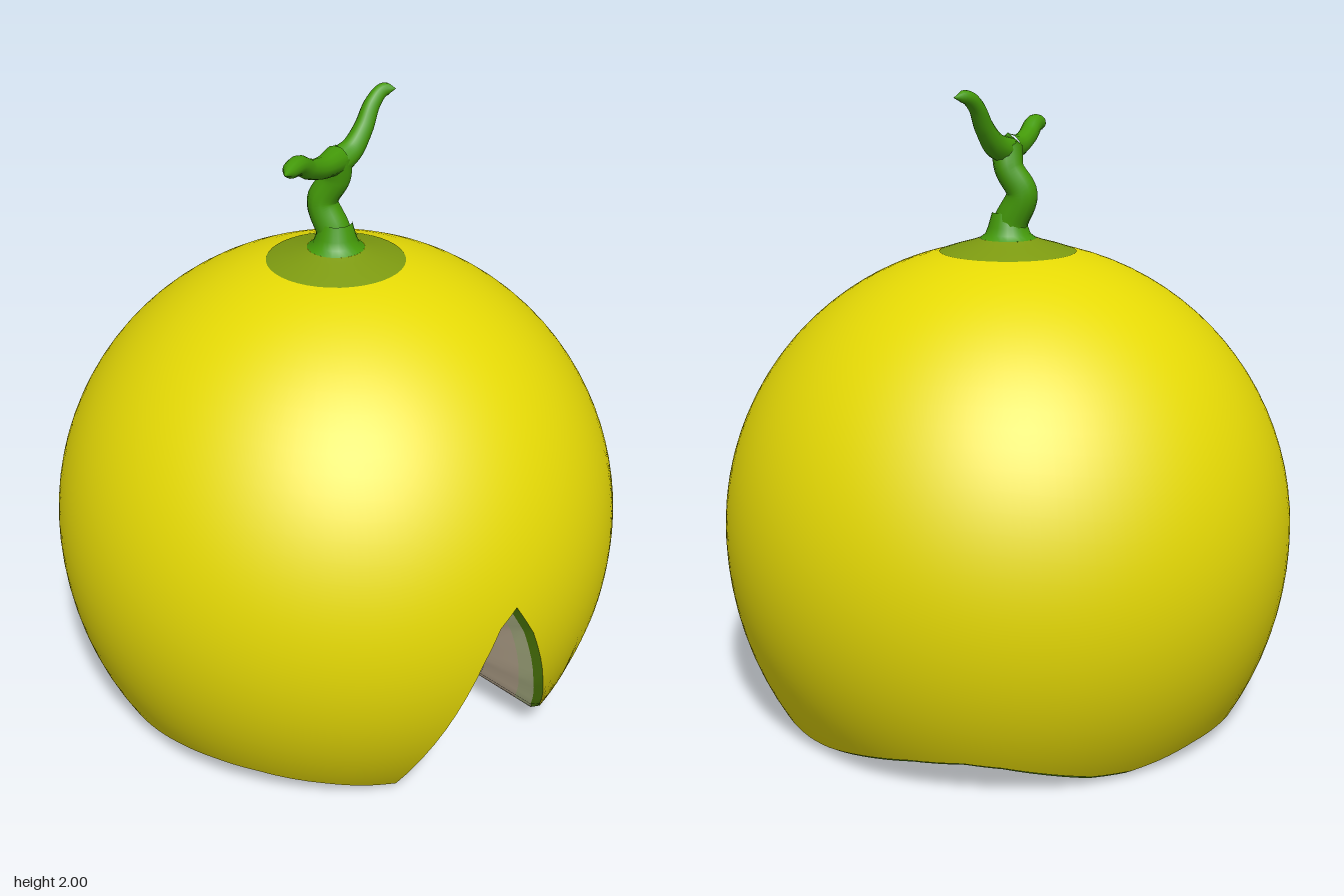
import * as THREE from 'three';

// Shell: round above its equator, slightly drawn out below it; the hollow is a smaller copy
const CY = 0.59, R = 0.922, DROP = 1.025, HOLLOW = 0.775;

// Broken lower edge: azimuth in degrees (0 = front, 90 = +x) and height
const EDGE = [
  [-8, 0.025], [0, 0.31], [6.3, 0.55], [9.5, 0.65], [13.3, 0.7], [17.7, 0.58], [24.4, 0.32], [30, 0.15],
  [35.5, 0.07], [36.2, 0.16], [37.2, 0.25], [42.7, 0.34], [51.5, 0.42], [55, 0.33], [58, 0.21], [62, 0.13],
  [74, 0.05], [82, 0.028], [90, 0.022], [98, 0.024], [106, 0.035], [118, 0.068], [130, 0.1], [142, 0.115],
  [150, 0.103], [157, 0.08], [170, 0.035], [180, 0.022], [188, 0.032], [198, 0.05], [208, 0.05], [223, 0.03],
  [235, 0.036], [246, 0.05], [260, 0.06], [270, 0.05], [277, 0.048], [285, 0.06], [300, 0.09], [310, 0.102],
  [320, 0.1], [336, 0.065], [344, 0.04], [352, 0.025],
];

// Even steps between the edge points
function sampleEdge() {
  const cols = [], steps = 4;
  for (let i = 0; i < EDGE.length - 1; i++) {
    for (let k = 0; k < steps; k++) {
      const a = THREE.MathUtils.lerp(EDGE[i][0], EDGE[i + 1][0], k / steps);
      cols.push({ a: THREE.MathUtils.degToRad(a), y: THREE.MathUtils.lerp(EDGE[i][1], EDGE[i + 1][1], k / steps) });
    }
  }
  return cols;
}

// Point on the shell scaled by k, at polar angle th from the top
function shellPoint(k, a, th) {
  const r = k * R * Math.sin(th), h = k * Math.cos(th) * (th > Math.PI / 2 ? DROP : R);
  return new THREE.Vector3(r * Math.sin(a), CY + h, r * Math.cos(a));
}
const polarAt = (k, y) => Math.acos((y - CY) / (k * (y < CY ? DROP : R)));

// Closed loft around y; point(edgeSample, s) runs from s = 0 to 1.
// A non-zero normalSign gives smooth normals away from or towards the centre.
function loft(cols, rows, point, normalSign = 0) {
  const pos = [], nor = [], idx = [], n = cols.length, w = rows + 1;
  const centre = new THREE.Vector3(0, CY, 0);
  cols.forEach((c, i) => {
    for (let j = 0; j <= rows; j++) {
      const p = point(c, j / rows);
      pos.push(p.x, p.y, p.z);
      const d = p.clone().sub(centre).normalize().multiplyScalar(normalSign);
      nor.push(d.x, d.y, d.z);
      if (j < rows) {
        const a = i * w + j, b = ((i + 1) % n) * w + j;
        idx.push(a, a + 1, b + 1, a, b + 1, b);
      }
    }
  });
  const g = new THREE.BufferGeometry();
  g.setAttribute('position', new THREE.Float32BufferAttribute(pos, 3));
  g.setIndex(idx);
  if (normalSign) g.setAttribute('normal', new THREE.Float32BufferAttribute(nor, 3));
  else g.computeVertexNormals();
  return g;
}

// Tube whose radius follows a list of values along its length
function taperedTube(points, radii) {
  const curve = new THREE.CatmullRomCurve3(points.map((p) => new THREE.Vector3(...p)));
  const n = 36, sides = 12;
  const g = new THREE.TubeGeometry(curve, n, 1, sides);
  const pos = g.attributes.position, v = new THREE.Vector3();
  for (let i = 0; i <= n; i++) {
    const c = curve.getPointAt(i / n);
    const f = (i / n) * (radii.length - 1), k = Math.min(Math.floor(f), radii.length - 2);
    const r = THREE.MathUtils.lerp(radii[k], radii[k + 1], f - k);
    for (let j = 0; j <= sides; j++) {
      const id = i * (sides + 1) + j;
      v.fromBufferAttribute(pos, id).sub(c).multiplyScalar(r).add(c);
      pos.setXYZ(id, v.x, v.y, v.z);
    }
  }
  return g;
}

export function createModel() {
  const model = new THREE.Group();
  const mat = (color) => new THREE.MeshStandardMaterial({ color });
  const add = (name, geometry, material) => {
    const m = new THREE.Mesh(geometry, material);
    m.name = name;
    model.add(m);
  };
  const skin = mat(0xe6da05), rimGreen = mat(0x5a8c0c), rind = mat(0xc9d09c);
  const flesh = mat(0xdcc9ac), patch = mat(0x7d9a10), stem = mat(0x449a09);
  const cols = sampleEdge();

  // Section of the broken edge, from skin to hollow
  const innerY = (c) => 0.05 + 0.73 * c.y;
  const outer = (c) => shellPoint(1, c.a, polarAt(1, c.y));
  const bevel = (c) => outer(c).multiply(new THREE.Vector3(0.96, 1, 0.96)).setY(c.y - 0.02);
  const inner = (c) => shellPoint(HOLLOW, c.a, polarAt(HOLLOW, innerY(c)));
  const cut = (c, t) => bevel(c).lerp(inner(c), t);

  // Outer skin and inner hollow
  add('skin', loft(cols, 32, (c, s) => shellPoint(1, c.a, s * polarAt(1, c.y)), 1), skin);
  add('hollow', loft(cols, 28, (c, s) => shellPoint(HOLLOW, c.a, (1 - s) * polarAt(HOLLOW, innerY(c))), -1), flesh);

  // Layers of the broken edge
  add('greenRim', loft(cols, 1, (c, s) => outer(c).lerp(bevel(c), s)), rimGreen);
  add('paleRind', loft(cols, 1, (c, s) => cut(c, s * 0.3)), rind);
  add('cutFlesh', loft(cols, 2, (c, s) => cut(c, 0.3 + s * 0.7)), flesh);

  // Green patch and flared foot under the stem
  const lathe = (pts, sides) => new THREE.LatheGeometry(pts.map((p) => new THREE.Vector2(...p)), sides);
  add('stemPatch', lathe([[0.218, 1.487], [0.17, 1.503], [0.12, 1.517], [0.09, 1.528]], 40), patch);
  add('stemFlare', lathe([[0.09, 1.528], [0.072, 1.542], [0.063, 1.565], [0.05, 1.61]], 24), stem);

  // Crooked stem with two branches
  add('stem', taperedTube(
    [[0, 1.52, 0], [-0.005, 1.58, -0.01], [-0.028, 1.67, -0.04], [0.005, 1.75, -0.015], [0, 1.82, 0], [0, 1.858, 0]],
    [0.055, 0.056, 0.054, 0.052, 0.049, 0.047, 0.046, 0.048, 0.046, 0]), stem);
  add('leftBranch', taperedTube(
    [[0, 1.8, 0], [0.06, 1.825, -0.025], [0.11, 1.88, -0.05], [0.15, 1.945, -0.075], [0.19, 1.977, -0.09], [0.235, 1.977, -0.09]],
    [0.045, 0.042, 0.039, 0.036, 0.033, 0.031, 0.029, 0.027, 0.025, 0.023, 0.02, 0]), stem);
  add('rightBranch', taperedTube(
    [[0, 1.81, 0], [-0.07, 1.812, 0.055], [-0.13, 1.835, 0.105], [-0.18, 1.868, 0.15], [-0.24, 1.862, 0.2]],
    [0.045, 0.041, 0.037, 0.034, 0.032, 0.031, 0.031, 0.031, 0.03, 0.028, 0.024, 0]), stem);

  return model;
}
